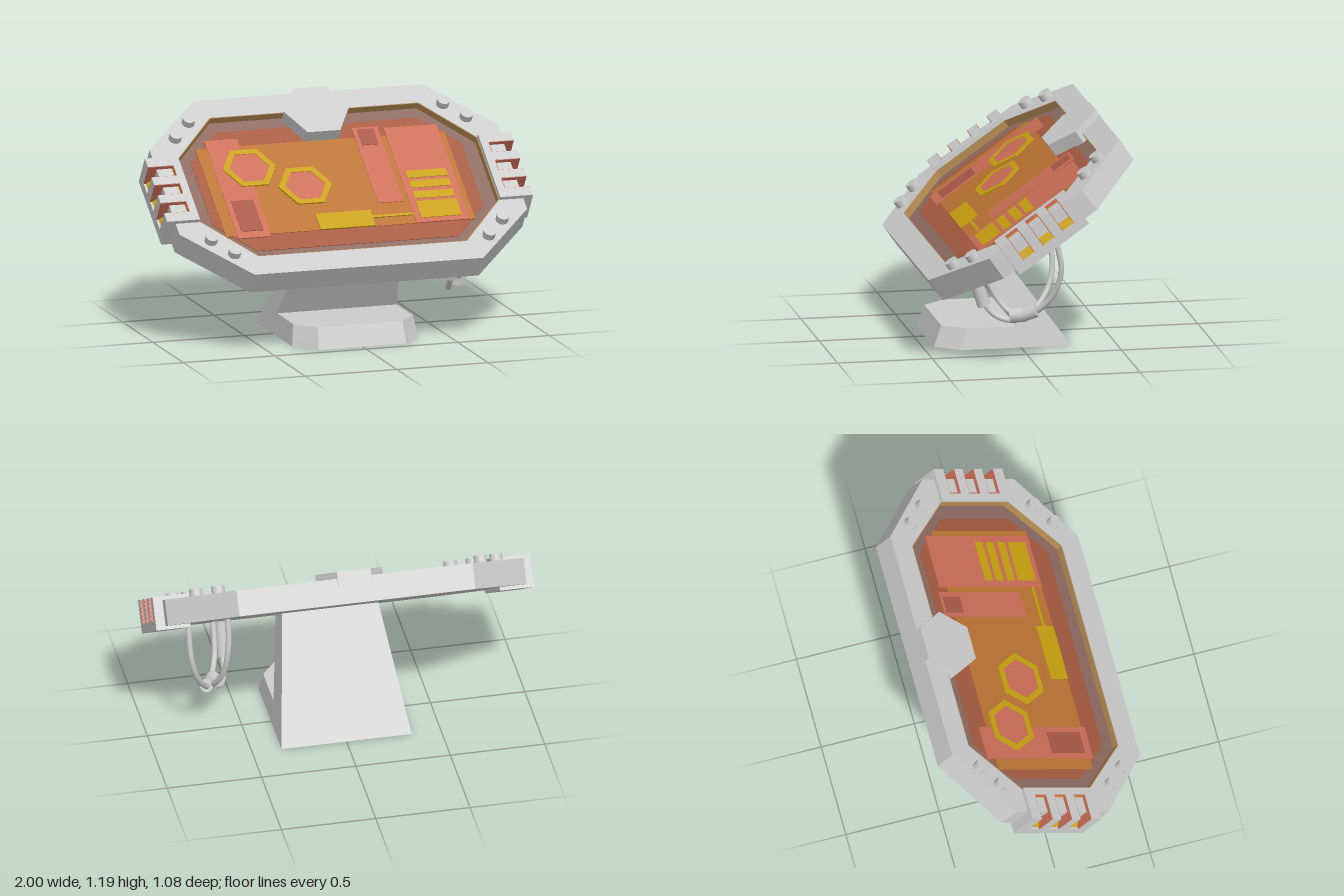
import * as THREE from 'three';

const mat = (color, side = THREE.FrontSide) => new THREE.MeshStandardMaterial({ color, side });
const grey = mat(0xcccccc);
const brown = mat(0x8c6a60), rust = mat(0xa55a40), orange = mat(0xbb7433);
const pink = mat(0xcc6e58), darkPink = mat(0xa85848), yellow = mat(0xc8a010), tan = mat(0xb08850);

function add(parent, name, geometry, material = grey) {
  const mesh = new THREE.Mesh(geometry, material);
  mesh.name = name;
  parent.add(mesh);
  return mesh;
}

// Outlines as [x, z] points
const octagon = (x, z, cx, cz) => [[cx, z], [x, cz], [x, -cz], [cx, -z], [-cx, -z], [-x, -cz], [-x, cz], [-cx, z]];
const rect = (x0, x1, z0, z1) => [[x0, z1], [x1, z1], [x1, z0], [x0, z0]];
const hexagon = (r, x, z) => Array.from({ length: 6 }, (_, i) =>
  [x + r * Math.cos(i * Math.PI / 3), z - r * Math.sin(i * Math.PI / 3)]);

// Flat plate rising from y0 by h, with an optional hole
function plate(points, y0, h, hole) {
  const toVec = ([x, z]) => new THREE.Vector2(x, -z);
  const shape = new THREE.Shape(points.map(toVec));
  if (hole) shape.holes.push(new THREE.Path(hole.map(toVec)));
  return new THREE.ExtrudeGeometry(shape, { depth: h, bevelEnabled: false })
    .rotateX(-Math.PI / 2).translate(0, y0, 0);
}

const FLOOR = 0.092, TOP = 0.135;

function createScreen() {
  const g = new THREE.Group();
  g.name = 'screen';
  const layer = (name, pts, level, material, hole) =>
    add(g, name, plate(pts, FLOOR, 0.003 * level, hole), material);

  layer('screenBorder', octagon(0.82, 0.49, 0.57, 0.22), 1, brown);
  layer('screenGlow', octagon(0.74, 0.42, 0.55, 0.22), 2, rust);
  layer('screenField', rect(-0.69, 0.67, -0.31, 0.31), 3, orange);
  layer('leftPanel', rect(-0.63, -0.45, -0.36, 0.33), 4, pink);
  layer('leftPanelSquare', rect(-0.6, -0.48, 0.07, 0.285), 5, darkPink);
  layer('middlePanel', rect(0.18, 0.32, -0.375, 0.155), 4, pink);
  layer('middlePanelSquare', rect(0.205, 0.295, -0.36, -0.25), 5, darkPink);
  layer('rightPanel', rect(0.35, 0.64, -0.36, 0.31), 4, pink);
  for (const [z0, z1] of [[-0.05, 0], [0.02, 0.07], [0.095, 0.145], [0.165, 0.28]])
    layer('readoutBar', rect(0.385, 0.605, z0, z1), 5, yellow);
  layer('readoutBlock', rect(-0.175, 0.125, 0.2, 0.31), 5, yellow);
  layer('readoutLine', rect(0.125, 0.35, 0.24, 0.255), 5, yellow);
  for (const [x, z] of [[-0.44, -0.15], [-0.175, 0]]) {
    layer('hexagonFill', hexagon(0.115, x, z), 5, pink);
    layer('hexagonRing', hexagon(0.145, x, z), 6, yellow, hexagon(0.11, x, z));
  }
  return g;
}

// Side block: four full fins and three notches with sloping lamps
function createSideBlock() {
  const g = new THREE.Group();
  g.name = 'sideBlock';
  const y0 = -0.019, y1 = 0.156, pitch = 0.127, half = 0.0365;
  const extrudeZ = (pts, z0, z1) => new THREE.ExtrudeGeometry(
    new THREE.Shape(pts.map(p => new THREE.Vector2(...p))), { depth: z1 - z0, bevelEnabled: false }).translate(0, 0, z0);

  const edges = [-0.224, -pitch - half, -pitch + half, -half, half, pitch - half, pitch + half, 0.224];
  for (let i = 0; i < 8; i += 2)
    add(g, 'fin', extrudeZ([[0.82, y0], [1, y0], [1, y1], [0.82, y1]], edges[i], edges[i + 1]));

  for (const z of [-pitch, 0, pitch]) {
    const a = z - half, b = z + half;
    add(g, 'notchBody', extrudeZ([[0.82, y0], [1, y0], [1, 0.03], [0.98, 0.03], [0.86, 0.132], [0.86, y1], [0.82, y1]], a, b));
    add(g, 'lamp', extrudeZ([[0.86, 0.131], [0.982, 0.03], [0.988, 0.03], [0.864, 0.138]], a, b), yellow);
    add(g, 'lampStrip', extrudeZ([[0.86, 0.135], [0.864, 0.135], [0.864, y1 - 0.001], [0.86, y1 - 0.001]], a, b), pink);
    for (const s of [a, b - 0.003])
      add(g, 'notchWall', extrudeZ([[0.864, 0.138], [0.988, 0.03], [0.999, 0.03], [0.999, 0.154], [0.864, 0.154]], s, s + 0.003), pink);
  }
  return g;
}

function createConsole() {
  const g = new THREE.Group();
  g.name = 'console';
  const outer = octagon(0.95, 0.615, 0.625, 0.3);
  const inner = octagon(0.82, 0.49, 0.57, 0.22);
  const lining = octagon(0.815, 0.486, 0.567, 0.218);
  add(g, 'consoleBody', plate(outer, 0, FLOOR));
  add(g, 'frame', plate(outer, FLOOR, TOP - FLOOR, inner));
  add(g, 'frameLining', plate(inner, FLOOR, TOP - FLOOR - 0.001, lining), tan);
  add(g, 'hexagonCap', plate(hexagon(0.178, 0, -0.464), FLOOR, 0.078));
  g.add(createScreen());

  // Bolts on the four slanted corners
  for (const sx of [-1, 1]) for (const sz of [-1, 1])
    for (const [x, z] of [[0.695, 0.465], [0.795, 0.362]])
      add(g, 'bolt', new THREE.CylinderGeometry(0.034, 0.034, 0.04, 14)).position.set(sx * x, TOP + 0.018, sz * z);

  const left = createSideBlock();
  const right = createSideBlock();
  right.rotation.y = Math.PI;
  g.add(left, right);
  return g;
}

// Hollow stand: a chamfered foot with a leaning neck, open underneath
function createStand() {
  const wall = (y, z) => [0.345 - 0.16 * y, y, z];
  const a = wall(0, -0.265), b = wall(0, 0.32), c = [0.24, 0, 0.44], d = [0.23, 0.11, 0.4];
  const e = wall(0.11, 0.28), f = wall(0.11, 0.02), g = wall(0.494, 0.258), h = wall(0.565, 0.15);
  const m = ([x, y, z]) => [-x, y, z];
  const sides = [[f, e, b, a], [h, g, f, a], [e, d, c, b]];
  const faces = [
    ...sides, ...sides.map(s => s.map(m).reverse()),
    [m(c), c, d, m(d)], [m(f), m(e), m(d), d, e, f], [m(f), f, g, m(g)], [a, m(a), m(h), h],
  ];
  const pos = [];
  for (const p of faces)
    for (let i = 1; i < p.length - 1; i++) pos.push(...p[0], ...p[i], ...p[i + 1]);
  const geo = new THREE.BufferGeometry();
  geo.setAttribute('position', new THREE.Float32BufferAttribute(pos, 3));
  geo.computeVertexNormals();
  return geo;
}

function createCables() {
  const g = new THREE.Group();
  g.name = 'cables';
  const v = p => new THREE.Vector3(...p);
  const cable = pts => add(g, 'cable', new THREE.TubeGeometry(new THREE.CatmullRomCurve3(pts.map(v)), 40, 0.015, 10));
  const sleeve = (p, q, r) => {
    const from = v(p), dir = v(q).sub(from);
    const mesh = add(g, 'cableSleeve', new THREE.CylinderGeometry(r, r, dir.length(), 16));
    mesh.position.copy(from).addScaledVector(dir, 0.5);
    mesh.quaternion.setFromUnitVectors(new THREE.Vector3(0, 1, 0), dir.normalize());
  };
  cable([[0.55, 0.48, 0.3], [0.55, 0.3, 0.24], [0.56, 0.225, 0.17], [0.59, 0.207, 0.09], [0.65, 0.245, 0.03],
    [0.7, 0.29, -0.03], [0.75, 0.38, -0.095], [0.79, 0.51, -0.125], [0.8, 0.63, -0.105], [0.8, 0.74, -0.075]]);
  cable([[0.6, 0.52, 0.265], [0.6, 0.42, 0.225], [0.61, 0.32, 0.17], [0.64, 0.255, 0.1], [0.66, 0.26, 0.03],
    [0.65, 0.3, -0.03], [0.62, 0.39, -0.09], [0.6, 0.51, -0.115], [0.59, 0.63, -0.1], [0.59, 0.74, -0.07]]);
  sleeve([0.55, 0.465, 0.295], [0.55, 0.285, 0.237], 0.034);
  sleeve([0.63, 0.243, 0.11], [0.66, 0.252, 0.04], 0.038);
  sleeve([0.658, 0.25, 0.05], [0.69, 0.28, -0.015], 0.036);
  return g;
}

export function createModel() {
  const model = new THREE.Group();
  model.name = 'controlConsole';
  const top = createConsole();
  top.position.set(0, 0.6925, -0.0365);
  top.rotation.x = THREE.MathUtils.degToRad(35);
  model.add(top);
  add(model, 'stand', createStand(), mat(0xcccccc, THREE.DoubleSide));
  model.add(createCables());
  return model;
}
